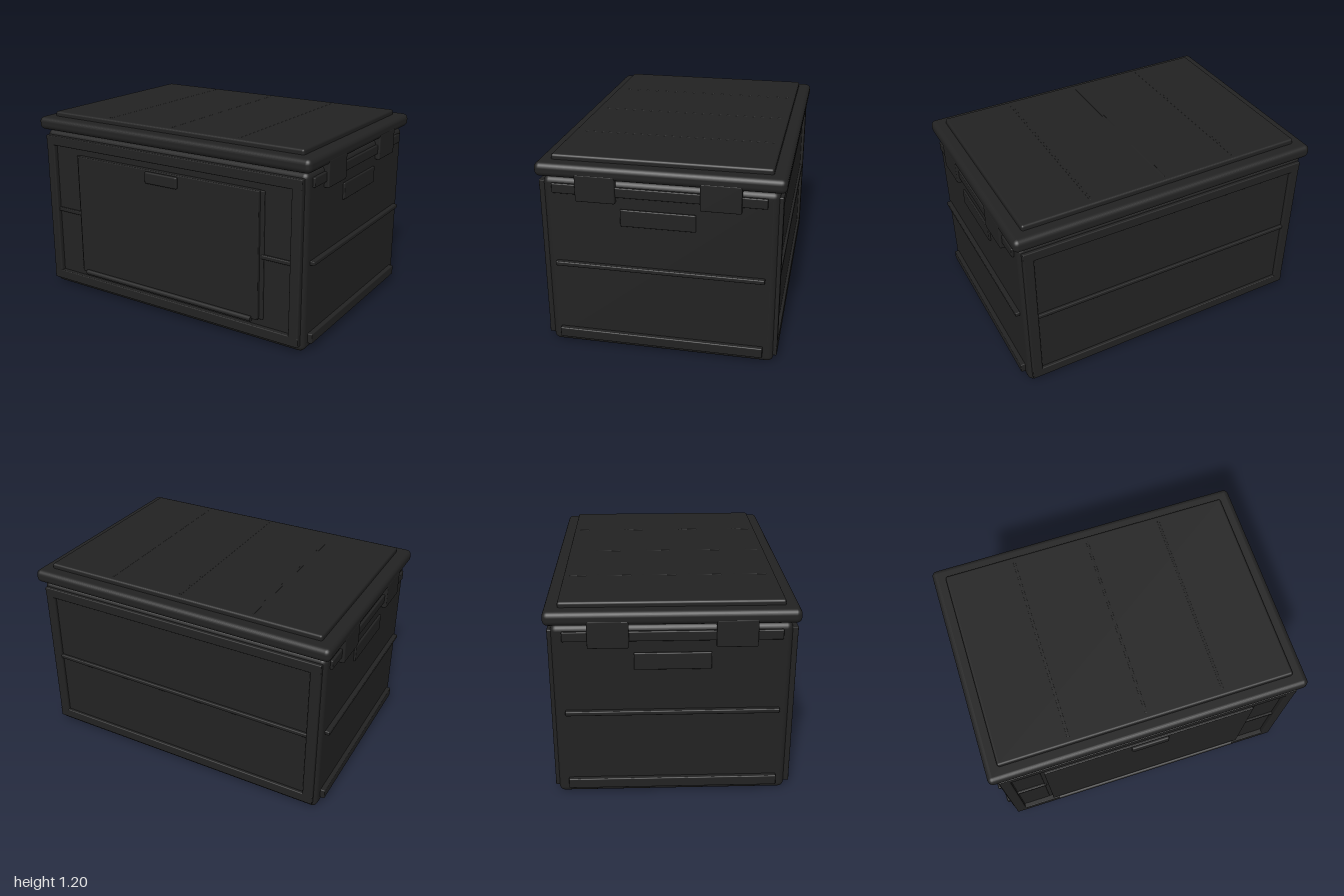
import * as THREE from 'three';
import { RoundedBoxGeometry } from 'three/addons/geometries/RoundedBoxGeometry.js';

export function createModel() {
  const crate = new THREE.Group();
  crate.name = 'storageCrate';
  const black = new THREE.MeshStandardMaterial({ color: 0x222222 });
  black.name = 'blackPlastic';

  // Rounded block given by its lower and upper limits on each axis
  function block(name, [x0, x1], [y0, y1], [z0, z1], radius = 0.006) {
    const w = x1 - x0, h = y1 - y0, d = z1 - z0;
    const r = Math.min(radius, Math.min(w, h, d) * 0.48);
    const mesh = new THREE.Mesh(new RoundedBoxGeometry(w, h, d, 3, r), black);
    mesh.position.set((x0 + x1) / 2, (y0 + y1) / 2, (z0 + z1) / 2);
    mesh.name = name;
    crate.add(mesh);
    return mesh;
  }
  // Range ordered for either side of the model
  const range = (side, a, b) => (side > 0 ? [a, b] : [-b, -a]);

  // Body and lid
  block('body', [-0.97, 0.97], [0, 1.08], [-0.68, 0.67], 0.035);
  block('lidNeck', [-0.95, 0.95], [1.04, 1.11], [-0.66, 0.65]);
  block('lid', [-1, 1], [1.085, 1.168], [-0.718, 0.71], 0.032);
  block('lidPanel', [-0.92, 0.92], [1.15, 1.199], [-0.638, 0.63], 0.014);
  for (const x of [-0.48, 0, 0.48]) {
    block('lidRib', [x - 0.008, x + 0.008], [1.18, 1.2], [-0.6, 0.59], 0.003);
  }

  // Raised frames on the front and back
  for (const side of [1, -1]) {
    const z = range(side, 0.64, 0.7);
    block('bottomRail', [-0.95, 0.95], [0.04, 0.103], z);
    block('topRail', [-0.95, 0.95], [0.987, 1.05], z);
    for (const s of [1, -1]) block('cornerPost', range(s, 0.885, 0.95), [0.04, 1.05], z, 0.01);
  }
  block('backMiddleRail', [-0.89, 0.89], [0.53, 0.556], [-0.698, -0.66]);

  // Front door with its surround, pull and hinge
  for (const s of [1, -1]) {
    block('frontMiddleRail', range(s, 0.69, 0.89), [0.53, 0.556], [0.65, 0.685]);
    block('doorJamb', range(s, 0.67, 0.705), [0.145, 0.94], [0.65, 0.68]);
  }
  block('door', [-0.68, 0.68], [0.145, 0.942], [0.65, 0.702]);
  block('doorPull', [-0.12, 0.12], [0.858, 0.932], [0.69, 0.72], 0.01);
  const hinge = new THREE.Mesh(new THREE.CylinderGeometry(0.017, 0.017, 1.28, 16), black);
  hinge.rotation.z = Math.PI / 2;
  hinge.position.set(0, 0.147, 0.703);
  hinge.name = 'doorHinge';
  crate.add(hinge);

  // Side rails, grip plates and lid latches
  for (const s of [1, -1]) {
    const z = [-0.617, 0.614];
    block('sideBottomRail', range(s, 0.94, 0.998), [0.043, 0.105], z);
    block('sideMiddleRail', range(s, 0.94, 0.998), [0.53, 0.557], z);
    block('sideTopRail', range(s, 0.94, 0.985), [0.988, 1.047], z);
    block('gripPlate', range(s, 0.95, 0.982), [0.812, 0.915], [-0.22, 0.217]);
    block('frontLatch', range(s, 0.95, 1), [0.952, 1.115], [0.24, 0.472], 0.008);
    block('backLatch', range(s, 0.95, 1), [0.952, 1.115], [-0.477, -0.245], 0.008);
  }
  return crate;
}
